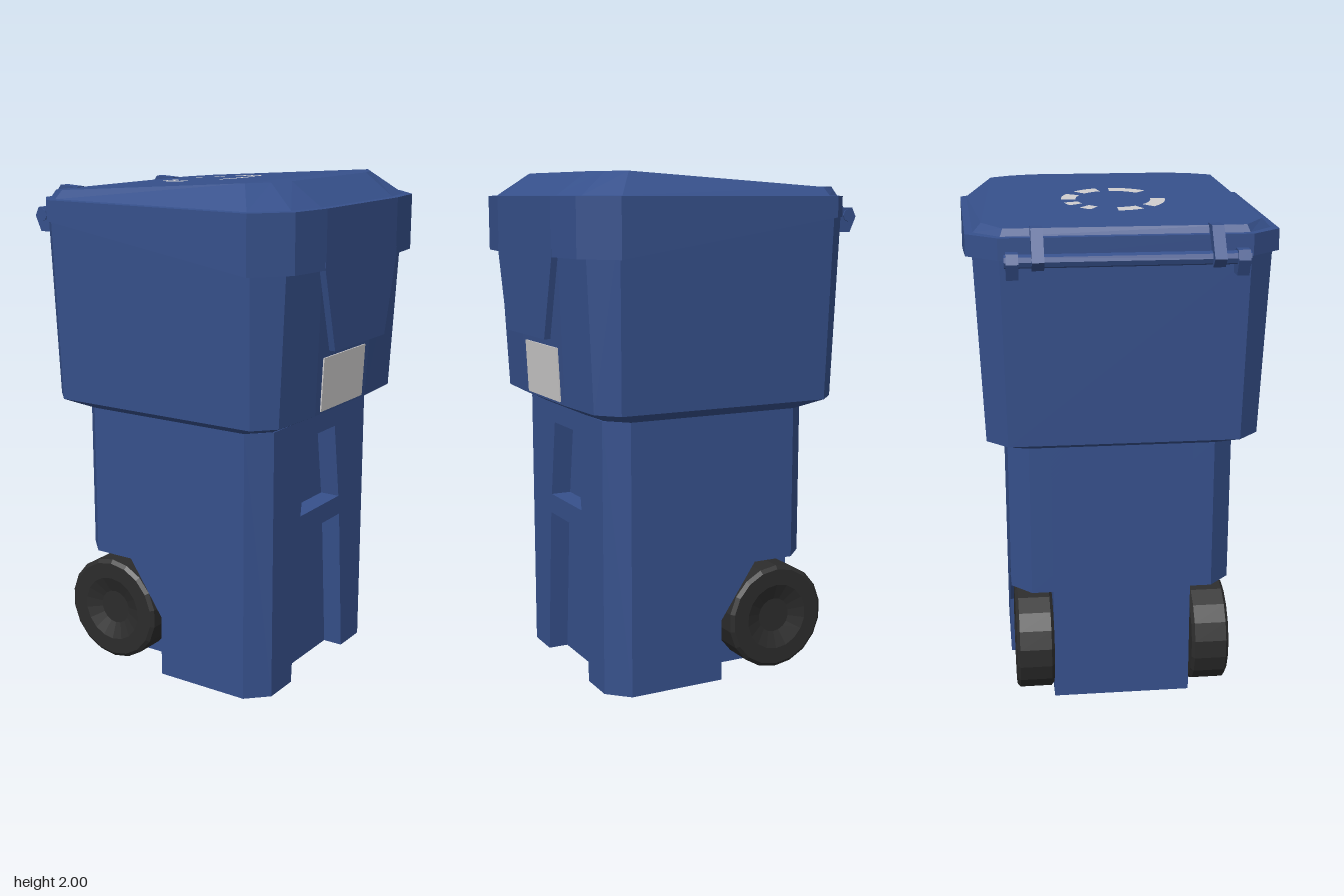
import * as THREE from 'three';

const flat = (name, color) => {
  const m = new THREE.MeshStandardMaterial({ color, flatShading: true });
  m.name = name;
  return m;
};

// Full closed loop from the z > 0 half (back to front), mirrored over z
const ring = half => [...half, ...half.map(([x, y, z]) => [x, y, -z]).reverse()];
const level = (y, pts) => pts.map(([x, z]) => [x, y, z]);

// Solid through stacked half outlines, capped at both ends
function loft(halves) {
  const pos = [];
  const quad = (a, b, c, d) => pos.push(...a, ...b, ...c, ...a, ...c, ...d);
  const rings = halves.map(ring);
  const n = rings[0].length;
  for (let r = 0; r < rings.length - 1; r++) {
    for (let i = 0; i < n; i++) {
      const j = (i + 1) % n;
      quad(rings[r][i], rings[r][j], rings[r + 1][j], rings[r + 1][i]);
    }
  }
  const lo = rings[0], hi = rings[rings.length - 1];
  for (let i = 0; i < n / 2 - 1; i++) {
    quad(hi[i], hi[i + 1], hi[n - 2 - i], hi[n - 1 - i]);
    quad(lo[n - 1 - i], lo[n - 2 - i], lo[i + 1], lo[i]);
  }
  const g = new THREE.BufferGeometry();
  g.setAttribute('position', new THREE.Float32BufferAttribute(pos, 3));
  g.computeVertexNormals();
  return g;
}

const shapeOf = pts => new THREE.Shape(pts.map(p => new THREE.Vector2(...p)));
// Side profile (x, y) given thickness from z0 to z1
const sideSlab = (pts, z0, z1) =>
  new THREE.ExtrudeGeometry(shapeOf(pts), { depth: z1 - z0, bevelEnabled: false }).translate(0, 0, z0);
// Front profile (z, y) given thickness from x0 to x1
const frontSlab = (shape, x0, x1) =>
  new THREE.ExtrudeGeometry(shape, { depth: x1 - x0, bevelEnabled: false }).rotateY(Math.PI / 2).translate(x0, 0, 0);

export function createModel() {
  const blue = flat('blue plastic', 0x36508b);
  const grey = flat('light grey print', 0xcdcbcc);
  const black = flat('black rubber', 0x2c2c2c);
  const model = new THREE.Group();
  model.name = 'wheeledBin';
  const add = (name, geometry, material = blue) => {
    const mesh = new THREE.Mesh(geometry, material);
    mesh.name = name;
    model.add(mesh);
    return mesh;
  };

  // Lower body: centre slab, outer slabs with wheel arches, chamfered rear
  const front = 0.385;
  add('lowerBodyCentre', sideSlab([[-0.41, 0], [front, 0], [front, 1.08], [-0.41, 1.08]], -0.275, 0.275));
  const arch = [[-0.01, 0], [front, 0], [front, 1.08], [-0.33, 1.08], [-0.33, 0.47], [-0.16, 0.47], [-0.01, 0.25]];
  add('lowerBodyLeft', sideSlab(arch, 0.275, 0.44));
  add('lowerBodyRight', sideSlab(arch, -0.44, -0.275));
  const rear = [[-0.41, 0.36], [-0.33, 0.44]];
  add('lowerBodyRear', loft([level(0.47, rear), level(1.08, rear)]));

  // Front panel with two tapered recesses, and its corner chamfers
  const panel = shapeOf([[-0.36, 0], [-0.21, 0], [-0.165, 0.61], [0.165, 0.61], [0.21, 0],
    [0.36, 0], [0.36, 1.08], [-0.36, 1.08]]);
  panel.holes.push(shapeOf([[-0.155, 0.69], [0.155, 0.69], [0.11, 1.0], [-0.11, 1.0]]));
  add('frontPanel', frontSlab(panel, front, 0.467));
  for (const s of [1, -1]) {
    const wedge = shapeOf([[front, -0.44 * s], [0.467, -0.36 * s], [front, -0.36 * s]]);
    add('frontChamfer', new THREE.ExtrudeGeometry(wedge, { depth: 1.08, bevelEnabled: false }).rotateX(-Math.PI / 2));
  }

  // Wider upper body with sloped underside
  add('upperBody', loft([
    level(1.08, [[-0.41, 0.36], [-0.33, 0.44], [0.385, 0.44], [0.46, 0.36], [0.467, 0.2]]),
    level(1.12, [[-0.5, 0.44], [-0.42, 0.52], [0.46, 0.52], [0.535, 0.44], [0.55, 0.2]]),
    level(1.83, [[-0.525, 0.455], [-0.43, 0.55], [0.475, 0.55], [0.57, 0.45], [0.585, 0.22]]),
  ]));

  // Lid: deep rim at the front, small ledge, bevel and sloping top
  const rim = [[-0.53, 0.46], [-0.43, 0.575], [0.49, 0.595], [0.605, 0.46], [0.63, 0.28]];
  const rimLow = [1.83, 1.83, 1.69, 1.69, 1.69];
  const ledge = [[-0.51, 0.45], [-0.41, 0.545], [0.475, 0.57], [0.575, 0.44], [0.605, 0.28]];
  const top = [[-0.495, 0.44], [-0.4, 0.515], [0.4, 0.465], [0.455, 0.38], [0.485, 0.285]];
  const slope = 0.069;
  const topY = x => Math.min(2, 2 + slope * (x - 0.4));
  add('lid', loft([
    rim.map(([x, z], i) => [x, rimLow[i], z]),
    level(1.91, rim),
    level(1.912, ledge),
    top.map(([x, z]) => [x, topY(x), z]),
  ]));
  add('lidFrontFlap', frontSlab(shapeOf([[-0.2, 1.38], [0.2, 1.38], [0.285, 1.69], [0.285, 1.72],
    [-0.285, 1.72], [-0.285, 1.69]]), 0.605, 0.63));

  // Broken ring printed on the lid: start and end angles in degrees
  const emblem = new THREE.Group();
  emblem.name = 'lidRingMark';
  for (const [a, b] of [[60, 90], [15, 45], [-45, 0], [-135, -90], [180, 210], [135, 150], [105, 120]]) {
    const arc = new THREE.RingGeometry(0.145, 0.202, 6, 1, a * Math.PI / 180, (b - a) * Math.PI / 180);
    const mesh = new THREE.Mesh(arc.rotateX(-Math.PI / 2), grey);
    mesh.name = 'ringSegment';
    emblem.add(mesh);
  }
  emblem.position.set(-0.06, topY(-0.06) + 0.004, 0);
  emblem.rotation.z = Math.atan(slope);
  model.add(emblem);

  // Plain label on the leaning front face
  const label = add('frontLabel', new THREE.BoxGeometry(0.008, 0.21, 0.33), grey);
  label.position.set(0.557, 1.235, 0);
  label.rotation.z = -0.049;

  // Hinge: bar, body brackets and lid arms
  add('hingeBar', new THREE.CylinderGeometry(0.025, 0.025, 0.88, 8).rotateX(Math.PI / 2).translate(-0.575, 1.835, 0));
  const bracket = [[-0.585, 1.77], [-0.51, 1.77], [-0.51, 1.82], [-0.55, 1.865], [-0.595, 1.865], [-0.612, 1.83]];
  const arm = [[-0.47, 1.91], [-0.47, 1.943], [-0.555, 1.948], [-0.635, 1.84], [-0.6, 1.805],
    [-0.555, 1.825], [-0.55, 1.875], [-0.525, 1.905]];
  for (const s of [1, -1]) {
    add('hingeBracket', sideSlab(bracket, s * 0.412 - 0.022, s * 0.412 + 0.022));
    add('lidHingeArm', sideSlab(arm, s * 0.322 - 0.022, s * 0.322 + 0.022));
  }

  // Wheels with dished faces
  const profile = [[0, 0], [0.2, 0], [0.215, 0.012], [0.215, 0.138], [0.2, 0.15], [0.135, 0.15],
    [0.07, 0.125], [0, 0.125]].map(p => new THREE.Vector2(...p));
  for (const s of [1, -1]) {
    const wheel = add(s > 0 ? 'leftWheel' : 'rightWheel',
      new THREE.LatheGeometry(profile, 18).rotateX(Math.PI / 2), black);
    wheel.position.set(-0.276, 0.218, s * 0.277);
    if (s < 0) wheel.rotation.y = Math.PI;
  }
  return model;
}
